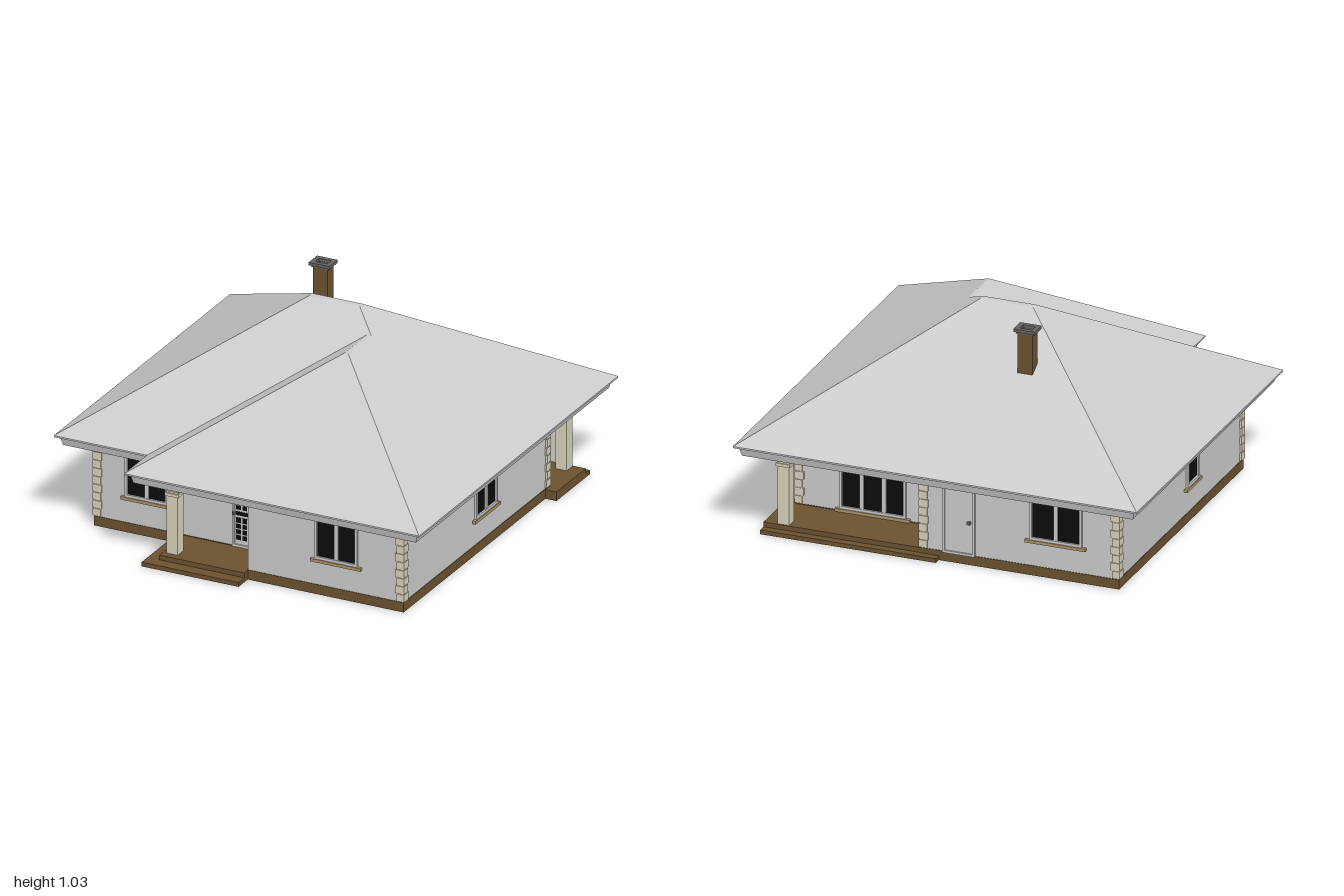
import * as THREE from 'three';

const mat = (color) => new THREE.MeshStandardMaterial({ color, flatShading: true });
const grey = mat(0xcccccc), brown = mat(0x6b5230), cream = mat(0xd8d2ba);
const tan = mat(0xa8966c), black = mat(0x0c0c0c), dark = mat(0x666666);

function add(parent, name, geometry, material) {
  const m = new THREE.Mesh(geometry, material);
  m.name = name;
  parent.add(m);
  return m;
}

// Box given by its min and max corners
function box(parent, name, x0, x1, y0, y1, z0, z1, material) {
  const g = new THREE.BoxGeometry(x1 - x0, y1 - y0, z1 - z0);
  g.translate((x0 + x1) / 2, (y0 + y1) / 2, (z0 + z1) / 2);
  return add(parent, name, g, material);
}

// Moves a right-angled outline of [x, z] points inwards by d
function inset(pts, d) {
  const n = pts.length;
  let area = 0;
  pts.forEach((p, i) => {
    const q = pts[(i + 1) % n];
    area += p[0] * q[1] - q[0] * p[1];
  });
  const normal = (a, b) => {
    const l = Math.hypot(b[0] - a[0], b[1] - a[1]) * Math.sign(area);
    return [-(b[1] - a[1]) / l, (b[0] - a[0]) / l];
  };
  return pts.map((p, i) => {
    const u = normal(pts[(i + n - 1) % n], p), v = normal(p, pts[(i + 1) % n]);
    return [p[0] + d * (u[0] + v[0]), p[1] + d * (u[1] + v[1])];
  });
}

const vecs = (pts) => pts.map((p) => new THREE.Vector2(p[0], p[1]));

// Extruded outline with an inset hole; the hole runs the opposite way round
function hollow(outer, thickness, depth) {
  const shape = new THREE.Shape(vecs(outer));
  shape.holes.push(new THREE.Path(vecs(inset(outer, thickness)).reverse()));
  return new THREE.ExtrudeGeometry(shape, { depth, bevelEnabled: false });
}

// Hollow ring following a ground outline, standing between y0 and y1
const ring = (outer, thickness, y0, y1) =>
  hollow(outer, thickness, y1 - y0).rotateX(Math.PI / 2).translate(0, y1, 0);

const rect = (x0, x1, z0, z1) => [[x0, z0], [x1, z0], [x1, z1], [x0, z1]];

const WALLS = [[-0.85, 0.65], [0.05, 0.65], [0.05, 0.865], [0.85, 0.865],
  [0.85, -0.595], [0.13, -0.595], [0.13, -0.85], [-0.85, -0.85]];

// Group placed on a wall face, local +z pointing outwards
function onWall(parent, name, x, z, turn) {
  const g = new THREE.Group();
  g.name = name;
  g.position.set(x, 0, z);
  g.rotation.y = turn * Math.PI / 2;
  parent.add(g);
  return g;
}

// Frame with an opening, passing through the wall
function frame(parent, w, y0, y1, t) {
  const g = hollow(rect(-w / 2, w / 2, y0, y1), t, 0.058);
  add(parent, 'frame', g.translate(0, 0, -0.046), grey);
}

function addWindow(parent, name, x, z, turn, w, panes, y0 = 0.18) {
  const g = onWall(parent, name, x, z, turn), y1 = 0.405;
  frame(g, w, y0, y1, 0.013);
  box(g, 'glass', -w / 2 + 0.01, w / 2 - 0.01, y0 + 0.01, y1 - 0.01, -0.043, 0.003, black);
  for (let i = 1; i < panes; i++) {
    const c = -w / 2 + (w * i) / panes;
    box(g, 'mullion', c - 0.01, c + 0.01, y0 + 0.01, y1 - 0.01, -0.046, 0.009, grey);
  }
  box(g, 'sill', -w / 2 - 0.02, w / 2 + 0.02, y0 - 0.015, y0, -0.01, 0.017, tan);
}

function addFrontDoor(parent) {
  const g = onWall(parent, 'frontDoor', -0.06, 0.645, 0);
  frame(g, 0.16, 0.045, 0.388, 0.012);
  box(g, 'leaf', -0.07, 0.07, 0.055, 0.38, -0.044, 0.006, grey);
  // Glazed panels: [bottom, top]
  [[0.08, 0.192], [0.203, 0.222], [0.232, 0.332], [0.345, 0.365]].forEach(([a, b]) => {
    box(g, 'doorGlass', -0.06, 0.06, a, b, -0.046, 0.008, black);
    if (b - a < 0.05) return;
    for (let i = 1; i < 4; i++) {
      const x = -0.06 + 0.03 * i, y = a + ((b - a) * i) / 4;
      box(g, 'doorBar', x - 0.003, x + 0.003, a, b, -0.048, 0.01, grey);
      box(g, 'doorBar', -0.06, 0.06, y - 0.0025, y + 0.0025, -0.048, 0.01, grey);
    }
  });
  box(g, 'handle', -0.074, -0.064, 0.205, 0.22, 0, 0.02, dark);
}

function addBackDoor(parent) {
  const g = onWall(parent, 'backDoor', -0.06, -0.85, 2);
  frame(g, 0.16, 0.045, 0.388, 0.012);
  box(g, 'leaf', -0.07, 0.07, 0.05, 0.38, -0.044, 0.004, grey);
  box(g, 'handle', 0.045, 0.06, 0.205, 0.218, 0, 0.02, dark);
}

// Alternating corner stones; sx and sz point outwards from the corner
function addQuoin(parent, x, z, sx, sz) {
  const g = onWall(parent, 'cornerStones', x, z, 0);
  const n = 9, h = (0.415 - 0.05) / n, out = 0.008;
  for (let i = 0; i < n; i++) {
    const a = i % 2 ? 0.046 : 0.038, b = i % 2 ? 0.038 : 0.046, y = 0.05 + i * h;
    const m = box(g, 'cornerStone', -a / 2, a / 2, y + 0.002, y + h - 0.002, -b / 2, b / 2, cream);
    m.position.set(sx * (out - a / 2), 0, sz * (out - b / 2));
  }
  const core = box(g, 'cornerCore', -0.018, 0.018, 0.05, 0.415, -0.018, 0.018, cream);
  core.position.set(sx * -0.014, 0, sz * -0.014);
}

function addPillar(parent, x, z) {
  const g = onWall(parent, 'porchPillar', x, z, 0), r = 0.029;
  box(g, 'shaft', -r, r, 0.04, 0.42, -r, r, cream);
  [[0.335, 0.35], [0.36, 0.375]].forEach(([a, b]) =>
    box(g, 'band', -r - 0.006, r + 0.006, a, b, -r - 0.006, r + 0.006, cream));
}

function addRoof(parent) {
  const roof = new THREE.Group();
  roof.name = 'roof';
  parent.add(roof);
  const top = 0.468, ridge = 1.002, wing = 0.928;
  // Eave corners A-F, blunt main ridge Q R S T, blunt wing ridge V W X Y
  const P = { A: [-1, top, -1], B: [1, top, -1], C: [1, top, 1], D: [-0.52, top, 1],
    E: [-0.52, top, 0.77], F: [-1, top, 0.77],
    Q: [-0.13, ridge, -0.13], R: [-0.13, ridge, -0.1],
    S: [0.13, ridge, -0.1], T: [0.13, ridge, -0.13],
    V: [0.25, wing, 0.02], W: [0.23, wing, 0.02],
    X: [0.23, wing, 0.25], Y: [0.25, wing, 0.25] };
  const pos = [];
  ['AQTB', 'FRQA', 'VYCBTS', 'FEWVSR', 'DXWE', 'DCYX', 'RSTQ', 'XYVW'].forEach((f) => {
    for (let i = 1; i < f.length - 1; i++) pos.push(...P[f[0]], ...P[f[i]], ...P[f[i + 1]]);
  });
  const slopes = new THREE.BufferGeometry();
  slopes.setAttribute('position', new THREE.Float32BufferAttribute(pos, 3));
  slopes.computeVertexNormals();
  add(roof, 'roofSlopes', slopes, grey);

  // Eave edge swept round the outline: [inset, height]
  const outline = [...'ABCDEF'].map((k) => [P[k][0], P[k][2]]);
  const profile = [[0, top], [0, 0.46], [0.022, 0.453], [0.032, 0.415]];
  const loops = profile.map(([d, y]) => inset(outline, d).map((p) => [p[0], y, p[1]]));
  const edge = [];
  for (let k = 0; k < loops.length - 1; k++) {
    for (let i = 0; i < outline.length; i++) {
      const j = (i + 1) % outline.length;
      const [a, b, c, d] = [loops[k][i], loops[k][j], loops[k + 1][j], loops[k + 1][i]];
      edge.push(...a, ...b, ...c, ...a, ...c, ...d);
    }
  }
  const fascia = new THREE.BufferGeometry();
  fascia.setAttribute('position', new THREE.Float32BufferAttribute(edge, 3));
  fascia.computeVertexNormals();
  add(roof, 'fascia', fascia, grey);
  const soffit = new THREE.ShapeGeometry(new THREE.Shape(vecs(inset(outline, 0.032))));
  add(roof, 'soffit', soffit.rotateX(Math.PI / 2).translate(0, 0.415, 0), grey);
}

function addChimney(parent) {
  const g = new THREE.Group();
  g.name = 'chimney';
  parent.add(g);
  const [x0, x1, z0, z1] = [-0.257, -0.183, -0.445, -0.385];
  add(g, 'stack', ring(rect(x0, x1, z0, z1), 0.01, 0.76, 1.012), brown);
  box(g, 'flue', x0 + 0.008, x1 - 0.008, 0.78, 0.99, z0 + 0.008, z1 - 0.008, grey);
  add(g, 'capLower', ring(rect(x0 - 0.007, x1 + 0.007, z0 - 0.004, z1 + 0.004), 0.015, 1.006, 1.016), dark);
  add(g, 'capUpper', ring(rect(x0 - 0.016, x1 + 0.016, z0 - 0.012, z1 + 0.012), 0.022, 1.015, 1.03), dark);
}

export function createModel() {
  const house = new THREE.Group();
  house.name = 'house';

  // Walls on an open plinth
  add(house, 'plinth', ring(inset(WALLS, -0.003), 0.06, 0, 0.048), brown);
  add(house, 'walls', ring(WALLS, 0.04, 0.045, 0.418), grey);

  // Porch floors and steps
  box(house, 'frontPorchFloor', -0.39, 0.05, 0, 0.045, 0.63, 0.9, brown);
  box(house, 'frontStep', -0.45, 0.05, 0, 0.021, 0.63, 0.96, brown);
  box(house, 'backPorchFloor', 0.13, 0.91, 0, 0.045, -0.85, -0.555, brown);
  box(house, 'backStep', 0.04, 0.91, 0, 0.021, -0.89, -0.555, brown);
  addPillar(house, -0.342, 0.835);
  addPillar(house, 0.815, -0.815);

  // Corner stones on the outer corners
  [[-0.85, 0.65, -1, 1], [0.85, 0.865, 1, 1], [0.85, -0.595, 1, -1],
    [0.13, -0.85, 1, -1], [-0.85, -0.85, -1, -1]].forEach((q) => addQuoin(house, ...q));

  // Windows and doors
  addWindow(house, 'frontRightWindow', -0.58, 0.65, 0, 0.22, 2);
  addWindow(house, 'frontLeftWindow', 0.507, 0.865, 0, 0.22, 2);
  addWindow(house, 'leftWindow', 0.85, 0.045, 1, 0.215, 2);
  addWindow(house, 'porchWindow', 0.47, -0.595, 2, 0.33, 3, 0.06);
  addWindow(house, 'backWindow', -0.54, -0.85, 2, 0.26, 2);
  addWindow(house, 'rightWindow', -0.85, 0.03, -1, 0.14, 1);
  addFrontDoor(house);
  addBackDoor(house);

  addRoof(house);
  addChimney(house);
  return house;
}
